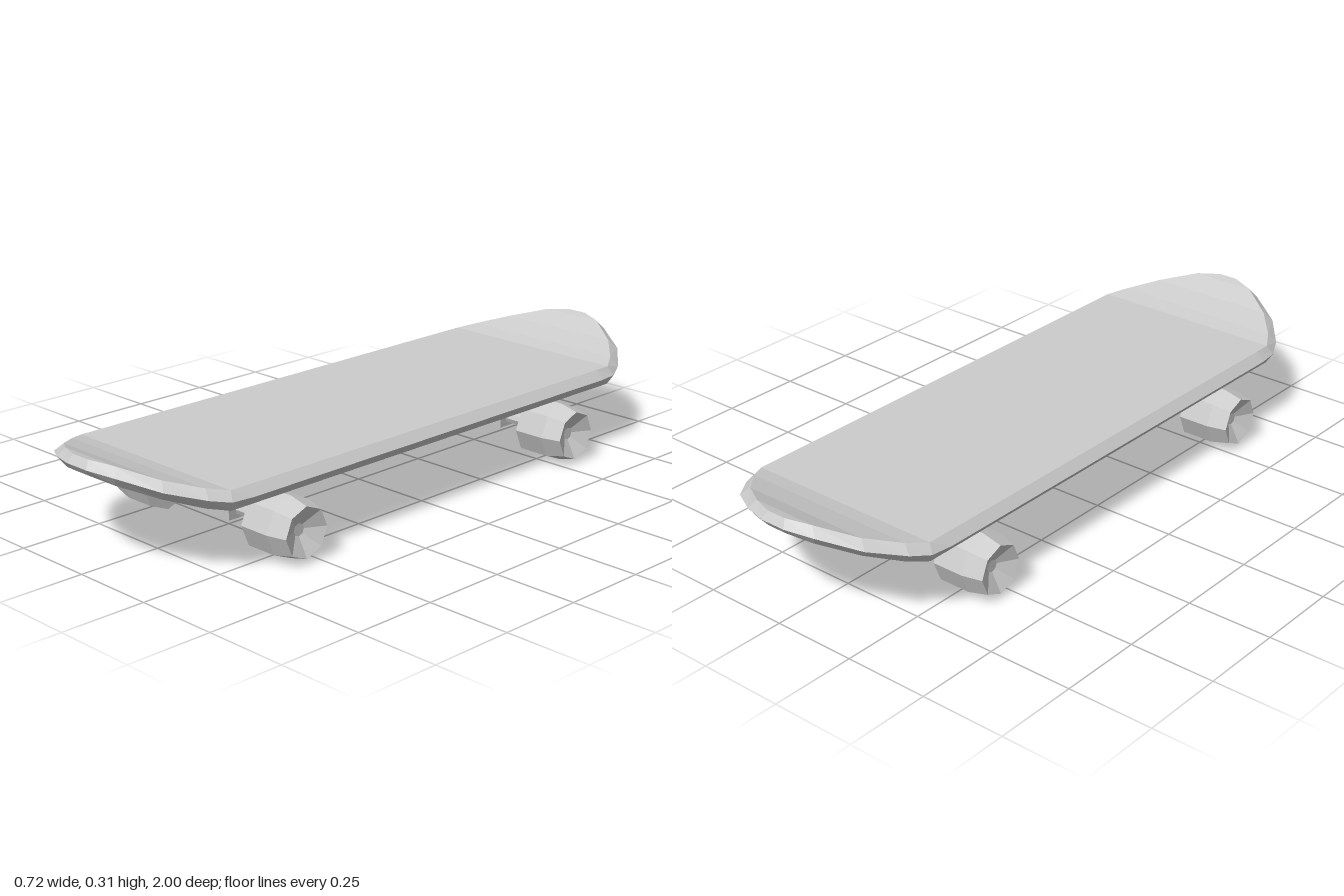
import * as THREE from 'three';

const grey = new THREE.MeshStandardMaterial({ color: 0xcccccc, flatShading: true });

// Deck stations of the nose: x and z of the inset faces, x and z of the rim, rise of top, rim and bottom
const NOSE = [
  [0.305, 0.70, 0.33, 0.70, 0, 0, 0],
  [0.305, 0.755, 0.322, 0.765, 0, 0, 0],
  [0.272, 0.81, 0.296, 0.82, 0.011, 0.012, 0.012],
  [0.20, 0.89, 0.225, 0.905, 0.034, 0.036, 0.038],
  [0.10, 0.957, 0.12, 0.972, 0.063, 0.064, 0.066],
  [0.03, 0.985, 0.04, 1.0, 0.07, 0.073, 0.082],
];

// Hexagonal cross-section, counter-clockwise seen from +z
function section([x, z, rimX, rimZ, top, rim, bottom], end) {
  const t = 0.245 + top, m = 0.219 + rim, b = 0.19 + bottom;
  return [
    [x, t, z * end], [-x, t, z * end], [-rimX, m, rimZ * end],
    [-x, b, z * end], [x, b, z * end], [rimX, m, rimZ * end],
  ];
}

function deckGeometry() {
  const rings = [
    ...[...NOSE].reverse().map((s) => section(s, -1)),
    ...NOSE.map((s) => section(s, 1)),
  ];
  const pos = [];
  const tri = (a, b, c) => pos.push(...a, ...b, ...c);
  for (let k = 0; k < rings.length - 1; k++) {
    const a = rings[k], b = rings[k + 1];
    for (let i = 0; i < 6; i++) {
      const j = (i + 1) % 6;
      tri(a[i], a[j], b[j]);
      tri(a[i], b[j], b[i]);
    }
  }
  // Close the two tips, keeping the rim edge across the middle
  const first = rings[0], last = rings[rings.length - 1];
  for (const [i, j, k] of [[0, 1, 2], [0, 2, 5], [5, 2, 3], [5, 3, 4]]) {
    tri(last[i], last[j], last[k]);
    tri(first[i], first[k], first[j]);
  }
  const g = new THREE.BufferGeometry();
  g.setAttribute('position', new THREE.Float32BufferAttribute(pos, 3));
  g.computeVertexNormals();
  return g;
}

// Block under the deck, narrowing downwards
function hangerGeometry() {
  const g = new THREE.BoxGeometry(0.22, 0.135, 0.1);
  const p = g.attributes.position;
  for (let i = 0; i < p.count; i++) {
    if (p.getY(i) < 0) p.setXYZ(i, p.getX(i) * 0.91, p.getY(i), p.getZ(i) * 0.8);
  }
  g.translate(0, 0.1275, 0);
  return g;
}

// Eight-sided wheel with a chamfered, dished outer face
function wheelGeometry() {
  const profile = [[0, 0.202], [0.087, 0.202], [0.087, 0.3], [0.073, 0.358], [0.018, 0.328], [0, 0.328]];
  return new THREE.LatheGeometry(profile.map(([r, h]) => new THREE.Vector2(r, h)), 8);
}

export function createModel() {
  const model = new THREE.Group();
  model.name = 'skateboard';

  const add = (parent, geometry, name) => {
    const mesh = new THREE.Mesh(geometry, grey);
    mesh.name = name;
    parent.add(mesh);
    return mesh;
  };

  add(model, deckGeometry(), 'deck');

  const hanger = hangerGeometry();
  const wheel = wheelGeometry();
  const axle = new THREE.CylinderGeometry(0.019, 0.019, 0.5, 8);

  for (const end of [1, -1]) {
    const truck = new THREE.Group();
    truck.name = end > 0 ? 'frontTruck' : 'rearTruck';
    truck.position.z = 0.546 * end;
    add(truck, hanger, 'hanger');

    const rod = add(truck, axle, 'axle');
    rod.rotation.z = Math.PI / 2;
    rod.position.y = 0.087;

    for (const side of [1, -1]) {
      const w = add(truck, wheel, side > 0 ? 'leftWheel' : 'rightWheel');
      w.rotation.z = (-side * Math.PI) / 2;
      w.position.y = 0.087;
    }
    model.add(truck);
  }
  return model;
}
